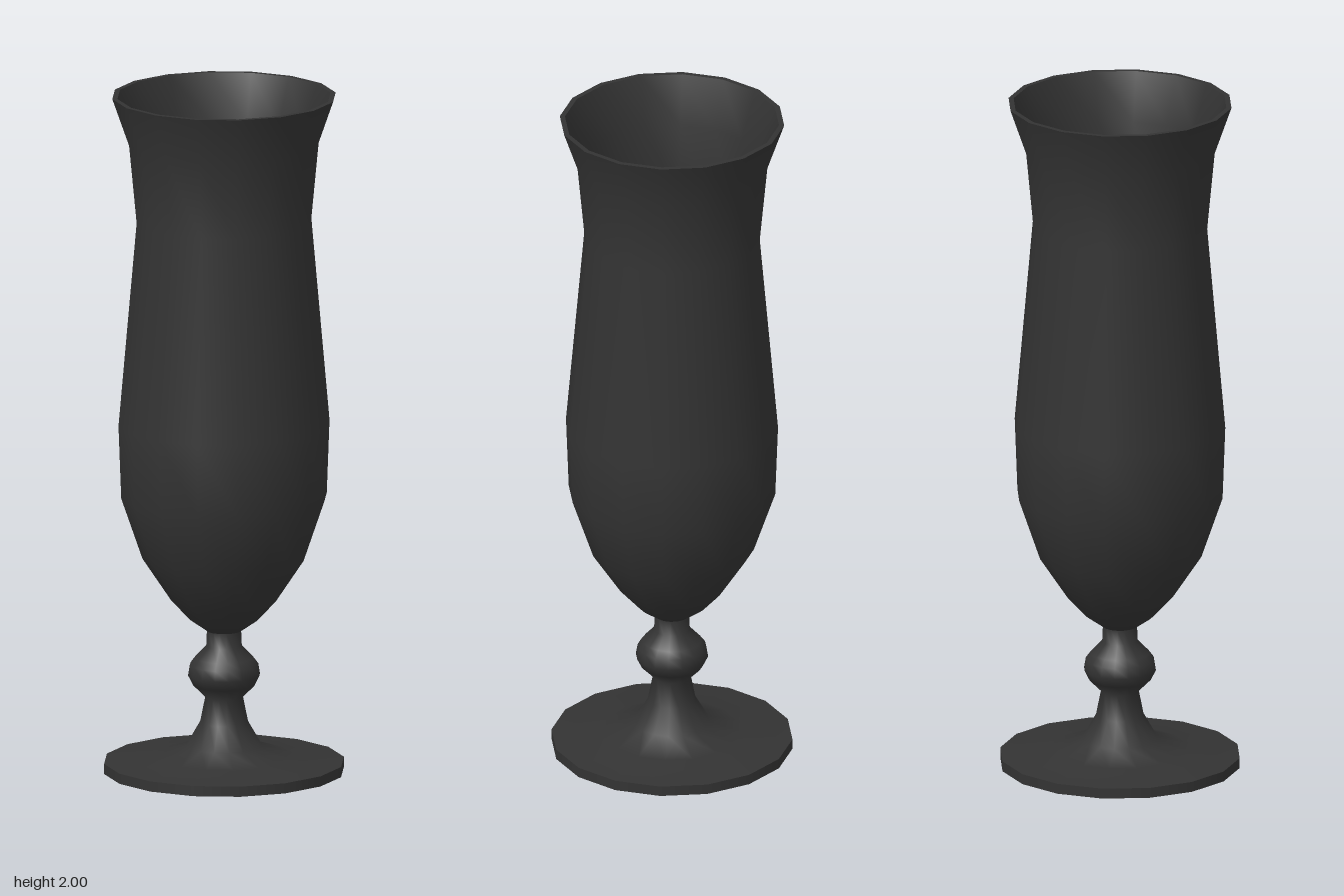
import * as THREE from 'three';

const SIDES = 16;
const material = new THREE.MeshStandardMaterial({ color: 0x333333 });

// Revolve an [radius, height] profile; separate profiles leave a sharp edge between them
function turned(name, profile) {
  const points = profile.map(([r, y]) => new THREE.Vector2(r, y));
  const mesh = new THREE.Mesh(new THREE.LatheGeometry(points, SIDES), material);
  mesh.name = name;
  return mesh;
}

export function createModel() {
  const glass = new THREE.Group();
  glass.name = 'footedGlass';

  // Foot: flat underside, thin upright edge
  const foot = new THREE.Group();
  foot.name = 'foot';
  foot.add(
    turned('footUnderside', [[0, 0], [0.35, 0]]),
    turned('footEdge', [[0.35, 0], [0.35, 0.03]]),
  );

  // Sloping foot top flowing into the stem and its rounded knob
  const stem = turned('stem', [
    [0.35, 0.03], [0.205, 0.045], [0.11, 0.075], [0.07, 0.145], [0.055, 0.22],
    [0.09, 0.255], [0.105, 0.285], [0.1, 0.315], [0.085, 0.335], [0.052, 0.37], [0.05, 0.415],
  ]);

  // Bowl: outer wall, flat rim, inner wall down to a rounded floor
  const bowl = new THREE.Group();
  bowl.name = 'bowl';
  bowl.add(
    turned('outerWall', [
      [0.05, 0.415], [0.1, 0.45], [0.155, 0.51], [0.238, 0.635], [0.3, 0.815],
      [0.308, 1.03], [0.255, 1.63], [0.277, 1.86], [0.326, 2],
    ]),
    turned('rim', [[0.326, 2], [0.311, 2]]),
    turned('innerWall', [
      [0.311, 2], [0.262, 1.86], [0.24, 1.63], [0.293, 1.03], [0.285, 0.82],
      [0.224, 0.645], [0.145, 0.525], [0.09, 0.467], [0, 0.435],
    ]),
  );

  glass.add(foot, stem, bowl);
  return glass;
}
